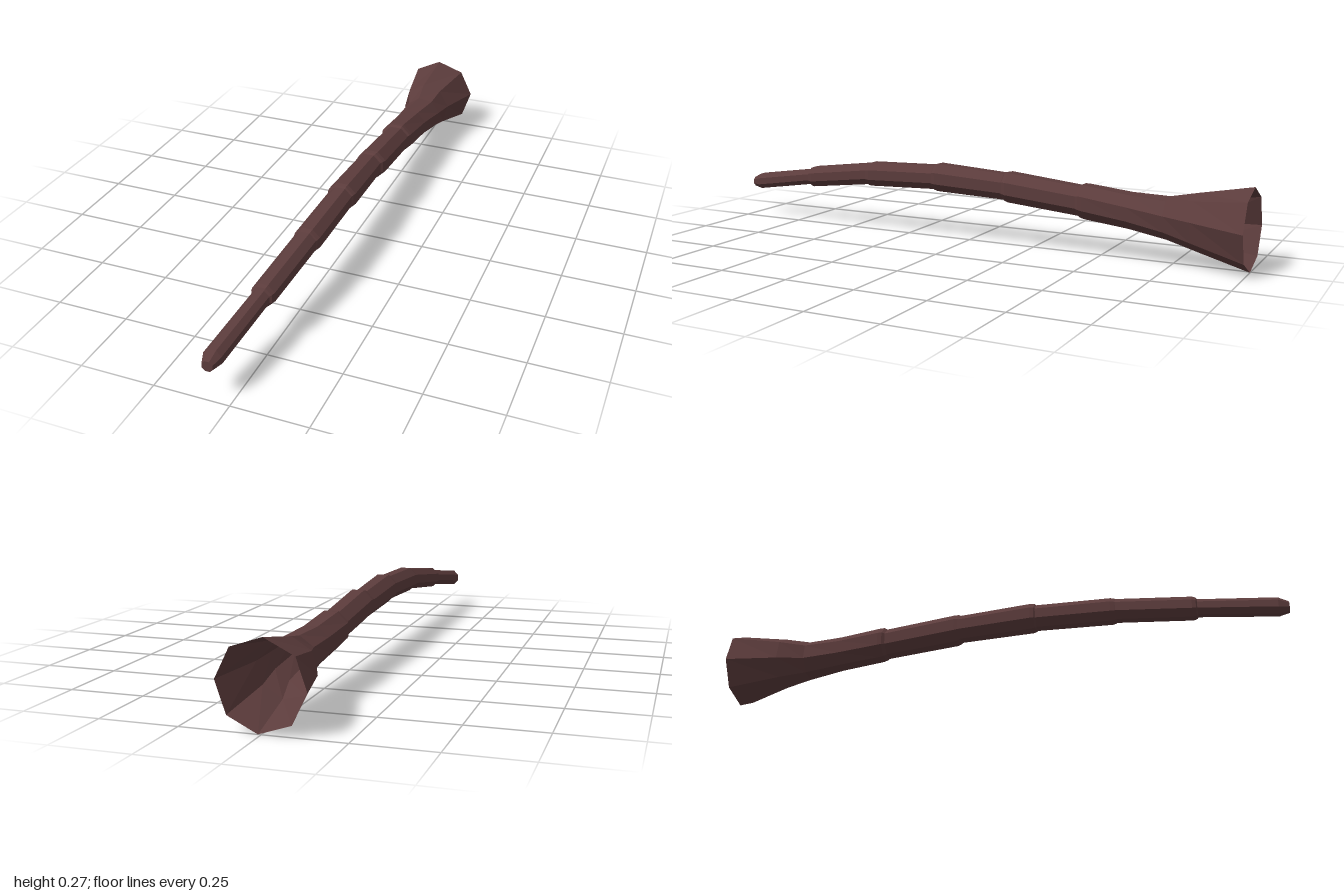
import * as THREE from 'three';

const SIDES = 8;

// Each ring: [z, centre x, centre y, radius, turn in degrees]
const flare = [
  [-1.0, 0, 0.135, 0.136, 4],
  [-0.82, -0.005, 0.143, 0.094, 9],
  [-0.73, 0.008, 0.15, 0.071, 14],
  [-0.6, 0.002, 0.162, 0.062, 19],
  [-0.445, -0.002, 0.178, 0.062, 22.5],
  [-0.43, -0.002, 0.18, 0.06, 22.5],
];

// Sleeves: each starts narrow inside the previous one and widens to a bevelled lip
const sleeves = [
  [[-0.42, -0.001, 0.18, 0.054], [-0.16, 0, 0.205, 0.056], [-0.147, -0.002, 0.206, 0.053]],
  [[-0.14, -0.006, 0.205, 0.049], [0.12, -0.004, 0.218, 0.053], [0.133, -0.005, 0.218, 0.05]],
  [[0.138, -0.005, 0.217, 0.046], [0.405, -0.01, 0.208, 0.047], [0.418, -0.011, 0.207, 0.044]],
  [[0.422, -0.012, 0.207, 0.042], [0.685, -0.034, 0.173, 0.041], [0.698, -0.035, 0.172, 0.037]],
  [[0.702, -0.036, 0.171, 0.031], [0.965, -0.063, 0.13, 0.032], [1.0, -0.063, 0.125, 0.019]],
];

// Faceted skin through the rings, with an optional flat cap on the last one
function loft(rings, cap) {
  const pos = [];
  const corner = ([z, x, y, r, turn = 22.5], i) => {
    const a = THREE.MathUtils.degToRad(turn + (i * 360) / SIDES);
    return [x + r * Math.cos(a), y + r * Math.sin(a), z];
  };
  for (let k = 0; k < rings.length - 1; k++) {
    for (let i = 0; i < SIDES; i++) {
      const a = corner(rings[k], i), b = corner(rings[k], i + 1);
      const c = corner(rings[k + 1], i + 1), d = corner(rings[k + 1], i);
      pos.push(...a, ...b, ...c, ...a, ...c, ...d);
    }
  }
  if (cap) {
    const end = rings[rings.length - 1];
    for (let i = 0; i < SIDES; i++) {
      pos.push(end[1], end[2], end[0], ...corner(end, i), ...corner(end, i + 1));
    }
  }
  const geo = new THREE.BufferGeometry();
  geo.setAttribute('position', new THREE.Float32BufferAttribute(pos, 3));
  geo.computeVertexNormals();
  return geo;
}

export function createModel() {
  const group = new THREE.Group();
  group.name = 'segmentedTail';
  const darkBrown = new THREE.MeshStandardMaterial({
    color: 0x5c3c3c, flatShading: true, side: THREE.DoubleSide,
  });
  darkBrown.name = 'darkBrown';

  const add = (name, rings, cap = false) => {
    const mesh = new THREE.Mesh(loft(rings, cap), darkBrown);
    mesh.name = name;
    group.add(mesh);
  };

  // Open, flared base
  add('flaredBase', flare);

  // Sleeves, each joined to the lip before it; the last one is the closed tip
  let lip = flare[flare.length - 1];
  sleeves.forEach((rings, i) => {
    const last = i === sleeves.length - 1;
    add(last ? 'tip' : `sleeve${i + 1}`, [lip, ...rings], last);
    lip = rings[rings.length - 1];
  });
  return group;
}
